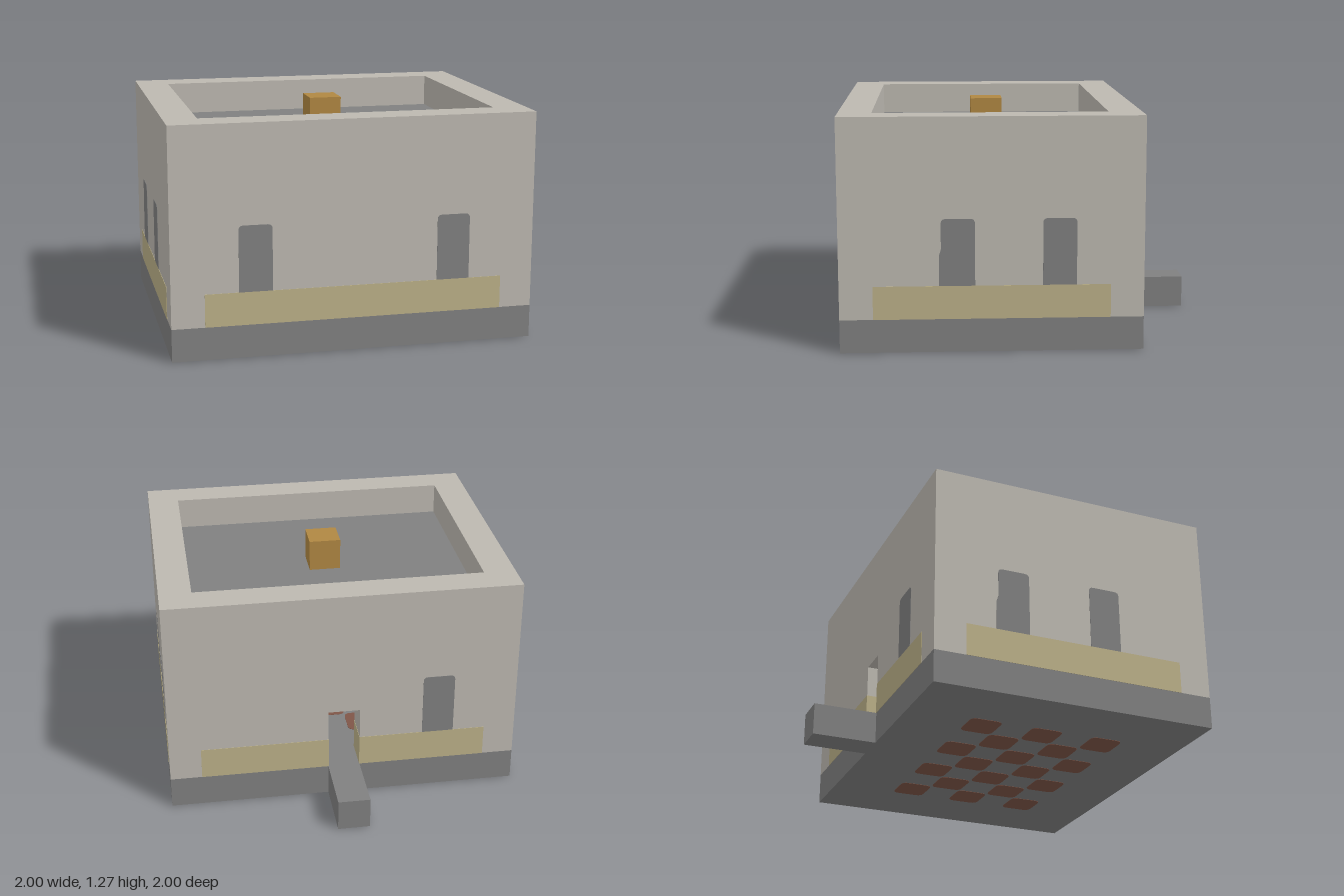
import * as THREE from 'three';

const U = 2 / 11;   // one block
const E = 0.002;    // how far painted parts stand proud
const mat = (name, color) => Object.assign(new THREE.MeshStandardMaterial({ color }), { name });

export function createModel() {
  const stone = mat('dark stone', 0x808080);
  const plaster = mat('pale plaster', 0xbcb8b0);
  const straw = mat('straw yellow', 0xbbb088);
  const wood = mat('orange wood', 0xb08742);
  const clay = mat('brown clay', 0x7f5648);
  const house = new THREE.Group();
  house.name = 'house';

  // Box between two corners in blocks: x from the centre, y from the ground, z from the back wall.
  // grow pushes every side out a little for painted parts.
  function box(name, material, [x0, y0, z0], [x1, y1, z1], grow = 0) {
    const geo = new THREE.BoxGeometry((x1 - x0) * U + 2 * grow, (y1 - y0) * U, (z1 - z0) * U + 2 * grow);
    const mesh = new THREE.Mesh(geo, material);
    mesh.name = name;
    mesh.position.set((x0 + x1) / 2 * U, (y0 + y1) / 2 * U, ((z0 + z1) / 2 - 3.5) * U);
    house.add(mesh);
  }

  // Foundation and the path to the door
  box('foundation', stone, [-5.5, 0, 0], [5.5, 1, 9]);
  box('path', stone, [-0.5, 0, -2], [0.5, 1, 0]);

  // Walls, with a doorway two blocks high in the back
  box('frontWall', plaster, [-5.5, 1, 8], [5.5, 7, 9]);
  box('backWallAboveDoor', plaster, [-0.5, 3, 0], [0.5, 7, 1]);
  box('frontBand', straw, [-4.5, 1, 8], [4.5, 2, 9], E);
  for (const s of [-1, 1]) {
    const span = (a, b) => (s > 0 ? [a, b] : [-b, -a]);
    const [sx0, sx1] = span(4.5, 5.5);
    box('sideWall', plaster, [sx0, 1, 1], [sx1, 7, 8]);
    box('sideBand', straw, [sx0, 1, 1], [sx1, 2, 8], E);
    const [bx0, bx1] = span(0.5, 5.5);
    box('backWall', plaster, [bx0, 1, 0], [bx1, 7, 1]);
    const [yx0, yx1] = span(0.5, 4.5);
    box('backBand', straw, [yx0, 1, 0], [yx1, 2, 1], E);
  }

  // Sunken flat roof with a block on it, and a block inside
  box('roof', stone, [-4.5, 5, 1], [4.5, 6, 8]);
  box('roofBlock', wood, [-0.5, 6, 4], [0.5, 7, 5]);
  box('indoorBlock', wood, [0.5, 1, 2], [1.5, 2, 3]);

  // Window pane with rounded top corners; notch widens its lower half on one side
  function windowGeometry(notch) {
    const w = U / 2, h = 2 * U, r = 0.025;
    const s = new THREE.Shape();
    s.moveTo(-w - notch, 0);
    s.lineTo(w, 0);
    s.lineTo(w, h - r);
    s.quadraticCurveTo(w, h, w - r, h);
    s.lineTo(-w + r, h);
    s.quadraticCurveTo(-w, h, -w, h - r);
    s.lineTo(-w, U * 1.1);
    s.lineTo(-w - notch, U * 0.9);
    const geo = new THREE.ExtrudeGeometry(s, { depth: U + 2 * E, bevelEnabled: false, curveSegments: 4 });
    return geo.translate(0, 0, -U / 2 - E);
  }
  // [x, z, turn, notch] in blocks
  const windows = [
    [-3, 8.5, 0, 0], [3, 8.5, 0, 0], [-3, 0.5, Math.PI, 0],
    [5, 5.5, Math.PI / 2, 0.011], [5, 2.5, Math.PI / 2, 0],
    [-5, 2.5, -Math.PI / 2, 0.011], [-5, 5.5, -Math.PI / 2, 0],
  ];
  for (const [x, z, turn, notch] of windows) {
    const pane = new THREE.Mesh(windowGeometry(notch), stone);
    pane.name = 'window';
    pane.position.set(x * U, 2 * U, (z - 3.5) * U);
    pane.rotation.y = turn;
    house.add(pane);
  }

  // Checkered floor tiles running through the foundation
  const a = U * 0.51, c = U * 0.3;
  const tile = new THREE.Shape();
  tile.moveTo(-c, -a);
  for (const [cx, cy, x, y] of [
    [1, -1, a, -c], [1, 1, c, a], [-1, 1, -a, c], [-1, -1, -c, -a],
  ]) {
    // straight side, then a rounded corner
    if (Math.abs(x) > Math.abs(y)) tile.lineTo(cx * c, cy * a);
    else tile.lineTo(cx * a, cy * c);
    tile.quadraticCurveTo(cx * a, cy * a, x, y);
  }
  const tileGeo = new THREE.ExtrudeGeometry(tile, { depth: U + 2 * E, bevelEnabled: false, curveSegments: 4 });
  tileGeo.rotateX(-Math.PI / 2);
  for (let i = -3; i <= 3; i++) {
    for (let j = 2; j <= 6; j++) {
      if ((i + j) % 2 === 0) continue;
      const mesh = new THREE.Mesh(tileGeo, clay);
      mesh.name = 'floorTile';
      mesh.position.set(i * U, -E, (j - 3) * U);
      house.add(mesh);
    }
  }
  return house;
}
